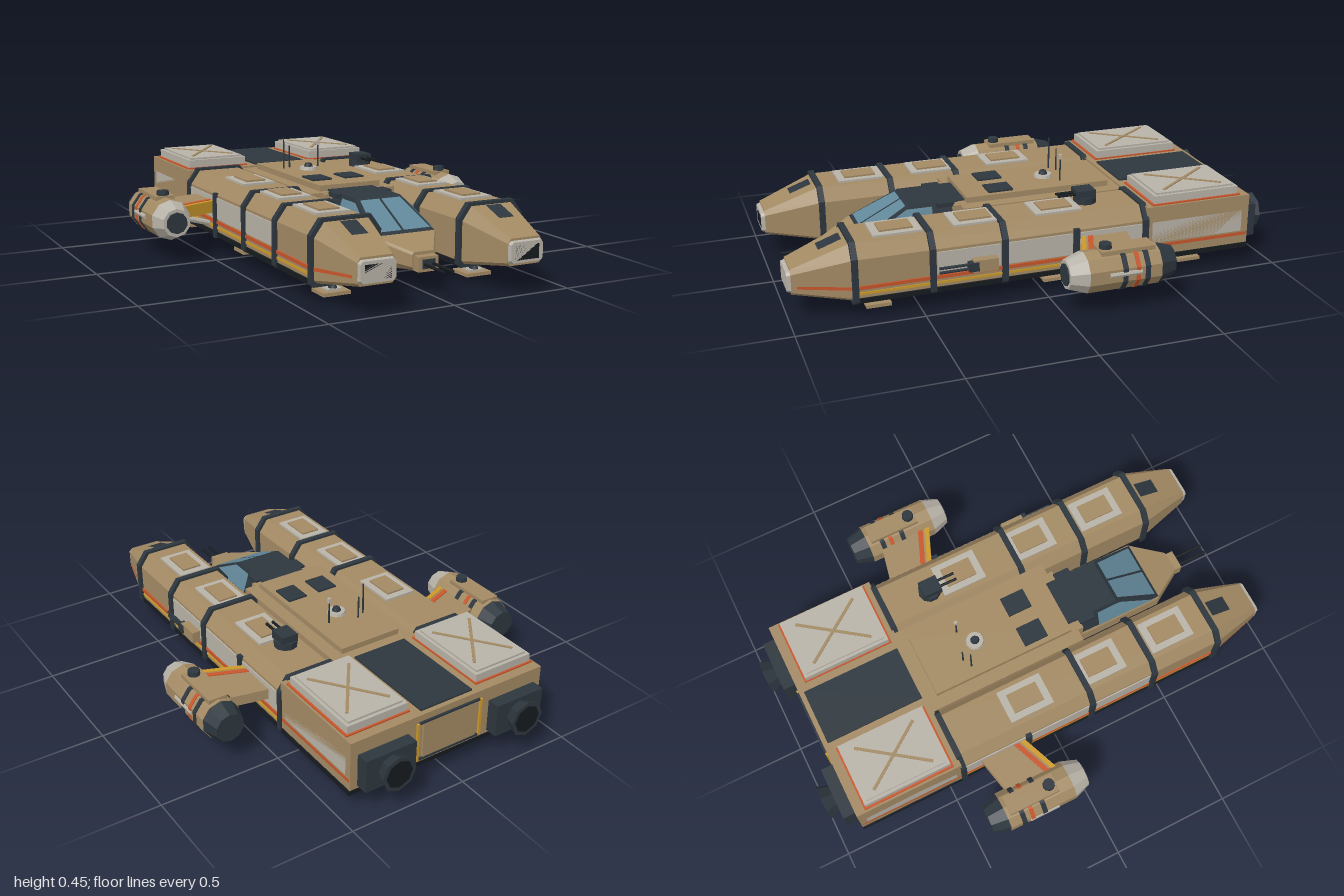
import * as THREE from 'three';

export function createModel() {
  const root = new THREE.Group();
  const mat = (name, color) => {
    const m = new THREE.MeshStandardMaterial({ color });
    m.name = name;
    return m;
  };
  const tan = mat('tan hull', 0xa38a64), light = mat('light panel', 0xb8b3a8), dark = mat('dark metal', 0x2d363e);
  const black = mat('black belly', 0x171b1f), glass = mat('blue glass', 0x62889a);
  const orange = mat('orange stripe', 0xc8562c), yellow = mat('yellow stripe', 0xcc9a2a);

  const add = (name, geo, m, x = 0, y = 0, z = 0) => {
    const mesh = new THREE.Mesh(geo, m);
    mesh.name = name;
    mesh.position.set(x, y, z);
    root.add(mesh);
    return mesh;
  };
  // Box given by its extents on each axis
  const box = (name, m, x0, x1, y0, y1, z0, z1) =>
    add(name, new THREE.BoxGeometry(Math.abs(x1 - x0), y1 - y0, z1 - z0), m, (x0 + x1) / 2, (y0 + y1) / 2, (z0 + z1) / 2);
  const flat = (p) => {
    const g = new THREE.BufferGeometry();
    g.setAttribute('position', new THREE.Float32BufferAttribute(p.flat(), 3));
    g.computeVertexNormals();
    return g;
  };
  // Faceted solid through [z, loop] sections, ordered back to front, loops anticlockwise from the front
  const loft = (sections) => {
    const tri = [];
    const rows = sections.map(([z, loop]) => loop.map(([x, y]) => [x, y, z]));
    const n = rows[0].length, last = rows[rows.length - 1];
    for (let r = 0; r + 1 < rows.length; r++) for (let i = 0; i < n; i++) {
      const j = (i + 1) % n, a = rows[r][i], b = rows[r][j], c = rows[r + 1][j], d = rows[r + 1][i];
      tri.push(a, b, c, a, c, d);
    }
    for (let i = 1; i + 1 < n; i++) tri.push(last[0], last[i], last[i + 1], rows[0][0], rows[0][i + 1], rows[0][i]);
    return flat(tri);
  };
  // Eight-sided section: half width w, heights y0..y1, top chamfer tx by ty, bottom chamfer b
  const oct = (cx, w, y0, y1, tx, ty, b) => [
    [cx - w + b, y0], [cx + w - b, y0], [cx + w, y0 + b], [cx + w, y1 - ty],
    [cx + w - tx, y1], [cx - w + tx, y1], [cx - w, y1 - ty], [cx - w, y0 + b]];
  // Painted quad seen from both sides
  const quad = (name, m, a, b, c, d) => add(name, flat([a, b, c, a, c, d, c, b, a, d, c, a]), m);
  const rod = (name, m, a, b, r, r2 = r, n = 8) => {
    const p = new THREE.Vector3(...a), q = new THREE.Vector3(...b), dir = q.clone().sub(p);
    const mesh = add(name, new THREE.CylinderGeometry(r2, r, dir.length(), n).toNonIndexed(), m);
    mesh.geometry.computeVertexNormals();
    mesh.position.copy(p.add(q).multiplyScalar(0.5));
    mesh.quaternion.setFromUnitVectors(new THREE.Vector3(0, 1, 0), dir.normalize());
    return mesh;
  };
  // Flat slab from an [x, z] outline
  const slab = (name, m, pts, y, h) => {
    const g = new THREE.ExtrudeGeometry(new THREE.Shape(pts.map(([x, z]) => new THREE.Vector2(x, -z))),
      { depth: h, bevelEnabled: false });
    return add(name, g.rotateX(-Math.PI / 2), m, 0, y, 0);
  };

  // Central hull
  box('centralHull', tan, -0.19, 0.19, 0.085, 0.29, -0.45, 0.25);
  box('roofPlate', tan, -0.137, 0.137, 0.29, 0.314, -0.4, 0.22);
  box('hullBelly', black, -0.19, 0.19, 0.068, 0.086, -0.45, 0.25);
  for (const s of [-1, 1]) box('roofHatch', dark, s * 0.03, s * 0.117, 0.312, 0.321, 0.015, 0.12);
  rod('domeBase', light, [0, 0.312, -0.16], [0, 0.326, -0.16], 0.04, 0.036, 12);
  rod('domeCap', dark, [0, 0.324, -0.16], [0, 0.34, -0.16], 0.02, 0.014, 12);
  for (const [x, z, h] of [[-0.09, -0.22, 0.45], [-0.053, -0.24, 0.41], [0.07, -0.21, 0.41]])
    rod('antenna', dark, [x, 0.31, z], [x, h, z], 0.004, 0.003, 6);
  box('antennaTip', light, 0.064, 0.076, 0.408, 0.428, -0.216, -0.204);

  // Rear block
  box('rearBlock', tan, -0.445, 0.445, 0.085, 0.298, -0.9, -0.44);
  box('rearBelly', black, -0.45, 0.45, 0.068, 0.088, -0.9, -0.44);
  box('rearDeckPanel', dark, -0.12, 0.12, 0.295, 0.305, -0.88, -0.46);
  box('rearDoor', tan, -0.125, 0.125, 0.11, 0.26, -0.908, -0.9);
  for (const y of [0.1, 0.262]) box('rearDoorTrim', dark, -0.14, 0.14, y, y + 0.008, -0.909, -0.9);

  // Cockpit
  add('cockpitBody', loft([
    [0.22, oct(0, 0.14, 0.075, 0.2, 0.005, 0.01, 0.04)],
    [0.65, oct(0, 0.14, 0.075, 0.192, 0.005, 0.01, 0.04)],
    [0.79, oct(0, 0.05, 0.085, 0.152, 0.008, 0.01, 0.012)]]), tan);
  const canopy = (w, b, y) => [[-b, 0.185], [b, 0.185], [w, y], [-w, y]];
  add('canopyFrame', loft([[0.22, canopy(0.1, 0.138, 0.297)], [0.45, canopy(0.1, 0.138, 0.297)],
    [0.652, canopy(0.132, 0.136, 0.192)]]), dark);
  for (const s of [-1, 1]) {
    quad('windshield', glass, [s * 0.005, 0.292, 0.465], [s * 0.088, 0.292, 0.465], [s * 0.12, 0.202, 0.64], [s * 0.005, 0.202, 0.64]);
    quad('sideWindow', glass, [s * 0.11, 0.284, 0.36], [s * 0.109, 0.284, 0.465], [s * 0.139, 0.202, 0.62], [s * 0.137, 0.202, 0.36]);
    box('cockpitPillar', tan, s * 0.095, s * 0.142, 0.19, 0.288, 0.22, 0.275);
    box('cockpitVent', dark, s * 0.1, s * 0.125, 0.28, 0.297, 0.27, 0.34);
    rod('noseGun', black, [s * 0.018, 0.112, 0.8], [s * 0.018, 0.112, 0.96], 0.006);
  }
  box('gunMount', tan, -0.042, 0.042, 0.083, 0.14, 0.78, 0.825);
  box('gunMountFace', dark, -0.026, 0.026, 0.095, 0.13, 0.82, 0.83);

  for (const s of [-1, 1]) {
    const cx = s * 0.31;
    const side = (name, m, y0, y1, z0, z1) => box(name, m, s * 0.437, s * 0.445, y0, y1, z0, z1);

    // Long side hull with tapered nose
    add('sideHull', loft([
      [-0.45, oct(cx, 0.13, 0.075, 0.298, 0.04, 0.055, 0.012)],
      [0.76, oct(cx, 0.13, 0.075, 0.298, 0.04, 0.055, 0.012)],
      [0.985, oct(cx, 0.075, 0.11, 0.212, 0.012, 0.018, 0.012)]]), tan);
    box('sideBelly', black, s * 0.175, s * 0.445, 0.066, 0.085, -0.45, 0.76);
    add('noseFrame', loft([[0.975, oct(cx, 0.077, 0.116, 0.206, 0.012, 0.012, 0.012)],
      [1, oct(cx, 0.07, 0.122, 0.2, 0.01, 0.01, 0.01)]]), light);
    box('noseIntake', black, cx - 0.053, cx + 0.053, 0.132, 0.188, 0.99, 1);
    quad('noseHatch', dark, [cx - 0.033, 0.296, 0.78], [cx + 0.033, 0.296, 0.78], [cx + 0.033, 0.264, 0.87], [cx - 0.033, 0.264, 0.87]);
    quad('noseStripe', orange, [s * 0.442, 0.122, 0.76], [s * 0.442, 0.136, 0.76], [s * 0.393, 0.148, 0.965], [s * 0.393, 0.137, 0.965]);
    for (const z of [0.755, 0.453, 0.162, -0.434])
      add('hullBand', loft([-0.012, 0.012].map((d) => [z + d, oct(cx, 0.143, 0.062, 0.308, 0.042, 0.058, 0.012)])), dark);
    box('sideBand', dark, s * 0.43, s * 0.453, 0.062, 0.25, -0.147, -0.123);
    box('bellyRib', dark, s * 0.17, s * 0.453, 0.062, 0.075, -0.147, -0.123);

    // Roof pads
    for (const z of [-0.085, 0.253, 0.57]) {
      box('padFrame', light, cx - 0.07, cx + 0.07, 0.29, 0.307, z - 0.097, z + 0.097);
      box('padCenter', tan, cx - 0.042, cx + 0.042, 0.3, 0.314, z - 0.066, z + 0.066);
    }

    // Side panels and stripes
    for (const [z0, z1] of [[0.18, 0.435], [-0.12, 0.145], [-0.42, -0.15], [-0.87, -0.465]]) side('sidePanel', light, 0.142, 0.232, z0, z1);
    box('lowerStripe', orange, s * 0.43, s * 0.446, 0.122, 0.136, -0.895, 0.76);
    box('lowerTrim', yellow, s * 0.43, s * 0.444, 0.1, 0.11, -0.44, 0.74);

    // Cargo pads with crossed straps
    box('cargoTrim', orange, s * 0.155, s * 0.436, 0.288, 0.304, -0.86, -0.468);
    box('cargoPad', light, s * 0.16, s * 0.427, 0.3, 0.336, -0.852, -0.478);
    box('cargoTop', light, s * 0.173, s * 0.414, 0.33, 0.344, -0.838, -0.492);
    for (const d of [-1, 1])
      add('cargoStrap', new THREE.BoxGeometry(0.012, 0.005, 0.32), tan, s * 0.294, 0.345, -0.665).rotation.y = d * 0.63;

    // Main engines
    box('engineHousing', dark, s * 0.19, s * 0.413, 0.1, 0.238, -0.952, -0.9);
    rod('engineNozzle', dark, [s * 0.3, 0.168, -0.945], [s * 0.3, 0.168, -1], 0.055, 0.075);
    rod('engineCore', black, [s * 0.3, 0.168, -0.99], [s * 0.3, 0.168, -1.001], 0.058);
    box('rearStripe', yellow, s * 0.142, s * 0.153, 0.1, 0.265, -0.908, -0.9);

    // Wing and strut
    const edge = (zh, zp) => [[s * 0.42, zh], [s * 0.61, zp]];
    const band = (a, b) => [...edge(...a), ...edge(...b).reverse()];
    slab('wing', tan, band([-0.355, -0.315], [-0.165, -0.09]), 0.168, 0.044);
    slab('wingOrange', orange, band([-0.215, -0.14], [-0.193, -0.118]), 0.21, 0.005);
    slab('wingYellow', yellow, band([-0.184, -0.109], [-0.163, -0.088]), 0.166, 0.049);
    rod('wingStrut', light, [s * 0.43, 0.105, -0.22], [s * 0.6, 0.152, -0.22], 0.012);

    // Outboard engine pod
    const px = s * 0.665, py = 0.17;
    const pod = (name, m, z0, z1, r0, r1) => rod(name, m, [px, py, z0], [px, py, z1], r0, r1, 10);
    pod('podTail', dark, -0.435, -0.36, 0.06, 0.082);
    pod('podBody', tan, -0.365, -0.07, 0.083, 0.083);
    pod('podNose', light, -0.07, 0, 0.083, 0.058);
    pod('podIntake', dark, -0.01, 0.005, 0.044, 0.044);
    for (const z of [-0.305, -0.213]) pod('podBand', dark, z - 0.01, z + 0.01, 0.087, 0.087);
    pod('podStripe', orange, -0.275, -0.258, 0.086, 0.086);
    box('podSpine', tan, px - 0.04, px + 0.04, 0.235, 0.258, -0.35, -0.13);
    rod('podBeacon', dark, [px, 0.25, -0.16], [px, 0.277, -0.16], 0.026, 0.024, 10);
    rod('podPanel', light, [px + s * 0.073, 0.175, -0.28], [px + s * 0.073, 0.175, -0.15], 0.013);

    // Landing gear
    for (const z of [0.65, -0.08, -0.68]) {
      box('foot', tan, cx - 0.056, cx + 0.056, 0, 0.014, z - 0.05, z + 0.05);
      box('ankle', light, cx - 0.03, cx + 0.03, 0.012, 0.022, z - 0.03, z + 0.03);
      rod('gearLeg', dark, [cx, 0.015, z + 0.015], [cx, 0.07, z - 0.01], 0.017);
      box('gearMount', dark, cx - 0.04, cx + 0.04, 0.055, 0.07, z - 0.04, z + 0.03);
    }
  }

  // Side gun on the left hull
  box('sideGunMount', tan, 0.44, 0.48, 0.14, 0.19, 0.2, 0.3);
  for (const y of [0.157, 0.175]) rod('sideGunBarrel', dark, [0.47, y, 0.28], [0.47, y, 0.435], 0.006);
  box('sideGunSleeve', dark, 0.455, 0.485, 0.148, 0.184, 0.28, 0.32);

  // Roof turret on the left hull
  rod('turretBase', dark, [0.29, 0.295, -0.23], [0.29, 0.325, -0.23], 0.048, 0.048, 10);
  box('turretHead', dark, 0.255, 0.325, 0.32, 0.355, -0.265, -0.185);
  for (const x of [0.276, 0.304]) rod('turretBarrel', black, [x, 0.338, -0.2], [x, 0.338, -0.11], 0.006);

  return root;
}
